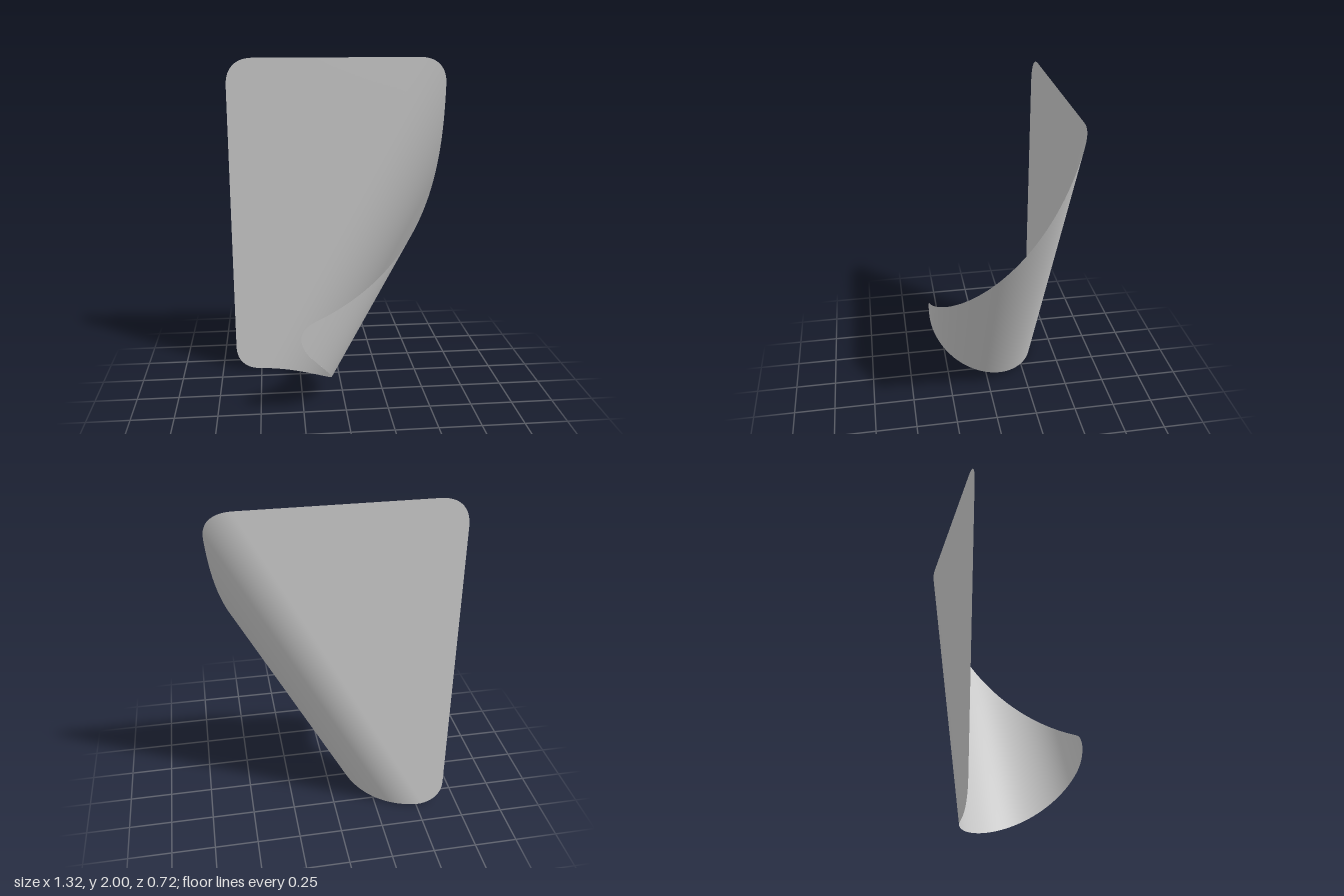
import * as THREE from 'three';

const LEFT = -0.66, RIGHT = 0.67, HEIGHT = 2;      // flat sheet
const CORNER = 0.17, CORNER_POWER = 2.4;           // soft rounded corners
const ANGLE = THREE.MathUtils.degToRad(27.9);      // lean of the fold from vertical
const FOLD = -0.477, RADIUS = 0.359;               // where the curl starts and its radius

// How far the side edges draw in near the top and bottom
function cornerInset(y) {
  const d = Math.min(y, HEIGHT - y);
  if (d >= CORNER) return 0;
  const k = Math.max(0, 1 - d / CORNER);
  return CORNER * (1 - Math.pow(Math.max(0, 1 - Math.pow(k, CORNER_POWER)), 1 / CORNER_POWER));
}

// Rolls a point of the flat sheet round the slanted fold axis
function curl(x, y) {
  const c = Math.cos(ANGLE), s = Math.sin(ANGLE);
  const along = x * s + y * c;
  let across = x * c - y * s;
  let z = -RADIUS;
  const past = across - FOLD;
  if (past > 0) {
    const turn = past / 0.365 + 0.34 * Math.pow(past, 4); // tightens towards the tip
    across = FOLD + RADIUS * Math.sin(turn);
    z = -RADIUS * Math.cos(turn);
  }
  return [along * s + across * c, along * c - across * s, z];
}

export function createModel() {
  const group = new THREE.Group();
  group.name = 'curledPage';

  // Sheet: a dense grid with rounded corners, then curled
  const geometry = new THREE.PlaneGeometry(1, 1, 100, 140);
  const pos = geometry.attributes.position;
  for (let i = 0; i < pos.count; i++) {
    const u = pos.getX(i) + 0.5;
    const v = pos.getY(i) + 0.5;
    const y = HEIGHT * (1 - Math.cos(Math.PI * v)) / 2; // rows crowd towards the corners
    const inset = cornerInset(y);
    const x = THREE.MathUtils.lerp(LEFT + inset, RIGHT - inset, u);
    pos.setXYZ(i, ...curl(x, y));
  }
  geometry.computeVertexNormals();

  const sheet = new THREE.Mesh(
    geometry,
    new THREE.MeshStandardMaterial({ color: 0xcccccc, side: THREE.DoubleSide })
  );
  sheet.name = 'sheet';
  group.add(sheet);
  return group;
}
